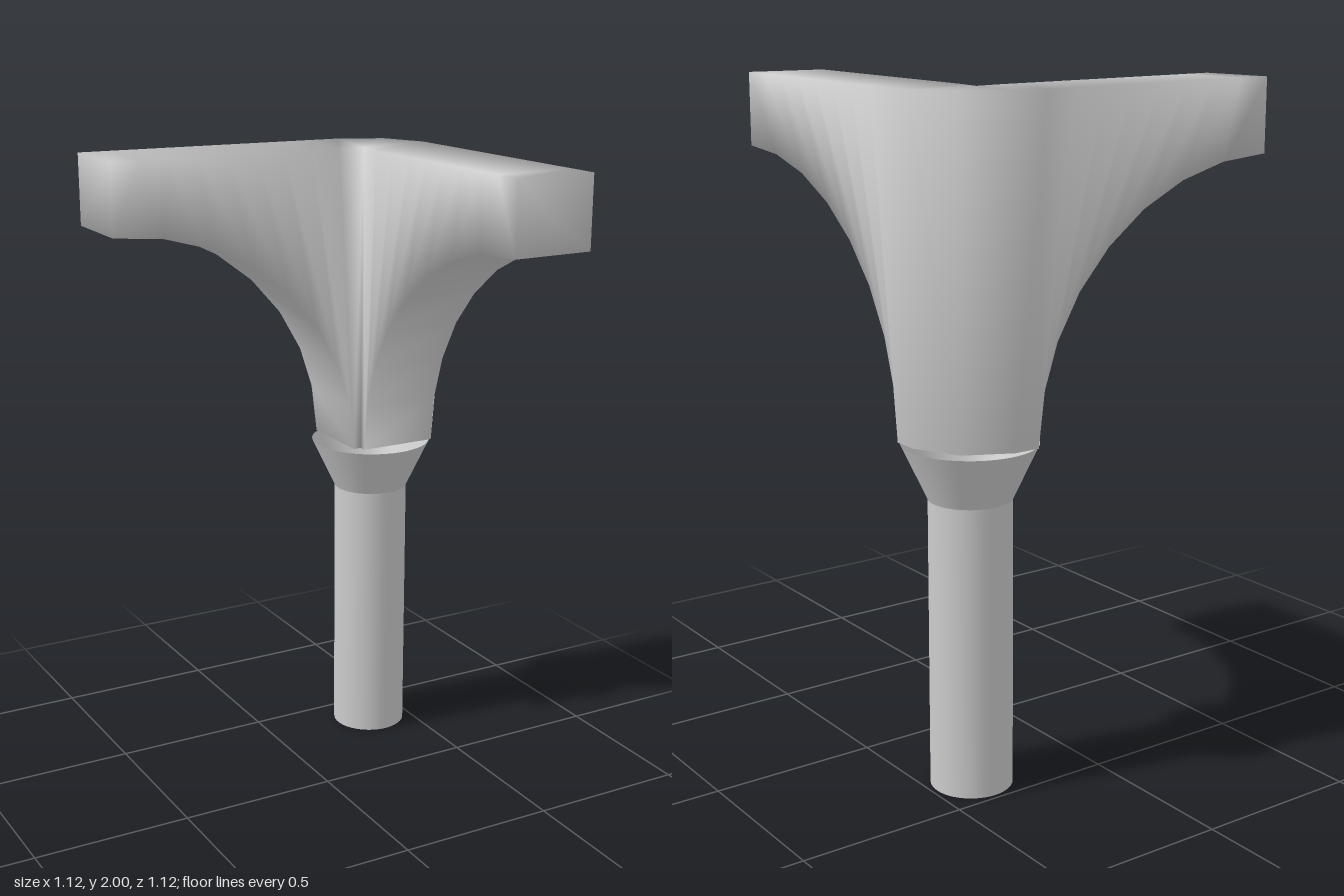
import * as THREE from 'three';
import { mergeVertices } from 'three/addons/utils/BufferGeometryUtils.js';

const STEPS = 8;          // segments of the curved underside
const END = -0.563;       // outer end of an arm
const FOOT = 1.02;        // level where the bracket meets the socket
const AXIS = 0.365;       // post centre (x = AXIS, z = -AXIS)

// Two mirrored arms sharing a bevelled corner, welded for smooth shading
function bracketGeometry() {
  const positions = [];
  const tri = (a, b, c) => {
    positions.push(...a, ...b, ...c);
    // the second arm mirrors the first across the diagonal
    for (const [x, y, z] of [a, c, b]) positions.push(-z, y, -x);
  };
  const quad = (a, b, c, d) => { tri(a, b, c); tri(a, c, d); };

  // Cross-sections: the bottom follows a quarter ellipse, the top runs level
  const sections = [];
  for (let i = 0; i <= STEPS + 1; i++) {
    const last = i > STEPS;
    const a = Math.min(i / STEPS, 1) * Math.PI / 2;
    const x = END + 0.813 * Math.sin(a);
    const y = FOOT + 0.76 * Math.cos(a);
    const t = i / (STEPS + 1);
    const top = 2 - 0.01 * t;
    sections.push({
      frontBottom: last ? [0.275, FOOT, -0.275] : [x, y, -0.275],
      backBottom: [last ? 0.33 : x, y, -0.53],
      frontTop: [THREE.MathUtils.lerp(END, 0.285, t), top, last ? -0.285 : -0.275],
      backTop: [THREE.MathUtils.lerp(END, 0.33, t), top, -0.53],
    });
  }
  for (let i = 0; i <= STEPS; i++) {
    const p = sections[i], q = sections[i + 1];
    quad(p.frontBottom, q.frontBottom, q.frontTop, p.frontTop);
    quad(q.backBottom, p.backBottom, p.backTop, q.backTop);
    quad(p.frontTop, q.frontTop, q.backTop, p.backTop);
    quad(q.frontBottom, p.frontBottom, p.backBottom, q.backBottom);
  }

  // Arm end face
  const e = sections[0];
  quad(e.backBottom, e.frontBottom, e.frontTop, e.backTop);

  // Bevelled outer corner
  const c = sections[STEPS + 1];
  const midTop = [0.465, 1.99, -0.465], midBottom = [0.465, FOOT, -0.465];
  tri(c.frontTop, midTop, c.backTop);
  quad(midBottom, c.backBottom, c.backTop, midTop);
  tri(c.frontBottom, c.backBottom, midBottom);

  const geometry = new THREE.BufferGeometry();
  geometry.setAttribute('position', new THREE.Float32BufferAttribute(positions, 3));
  const welded = mergeVertices(geometry, 1e-4);
  welded.computeVertexNormals();
  return welded;
}

export function createModel() {
  const group = new THREE.Group();
  const material = new THREE.MeshStandardMaterial({ color: 0xcccccc, side: THREE.DoubleSide });
  const add = (name, geometry, x = 0, y = 0, z = 0) => {
    const mesh = new THREE.Mesh(geometry, material);
    mesh.name = name;
    mesh.position.set(x, y, z);
    group.add(mesh);
  };

  // Open tube and the flared socket on top of it
  add('post', new THREE.CylinderGeometry(0.12, 0.12, 0.86, 48, 1, true), AXIS, 0.43, -AXIS);
  add('flaredSocket', new THREE.CylinderGeometry(0.195, 0.12, 0.16, 48, 1, true), AXIS, 0.94, -AXIS);

  // Two-armed corner bracket
  add('cornerBracket', bracketGeometry());
  return group;
}
